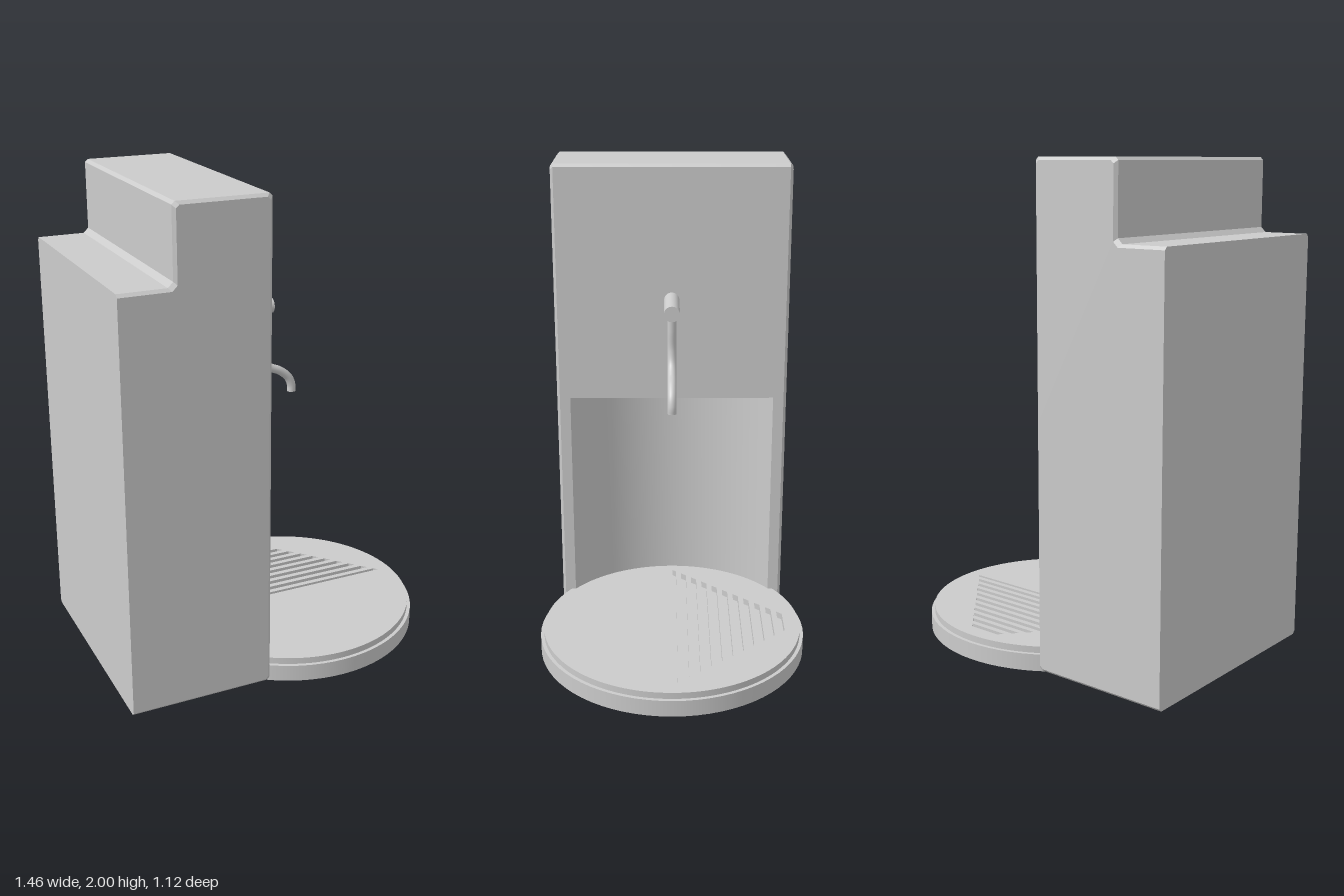
import * as THREE from 'three';
import { toCreasedNormals } from 'three/addons/utils/BufferGeometryUtils.js';

const FRONT = -0.14, BACK = -0.73, HALF = 0.49, BEVEL = 0.012;
const TRAY_X = 0.165, RECESS_R = 0.53, RECESS_TOP = 1.01;

const grey = new THREE.MeshStandardMaterial({ color: 0xcccccc });

function part(name, geometry) {
  const mesh = new THREE.Mesh(geometry, grey);
  mesh.name = name;
  return mesh;
}

// Side outline of the housing, counter-clockwise; lowerX is the front wall
// below the recess top, d insets everything but the back.
function outline(lowerX, d) {
  const f = FRONT - d, w = lowerX - d, top = 2 - d, step = -0.52 + d, ledge = 1.7 - d, c = BEVEL;
  return [
    [BACK, 0.01 + d], [w - c, 0.01 + d], [w, 0.01 + c + d],
    [w, RECESS_TOP], [f, RECESS_TOP], [f, top - c], [f - c, top],
    [step + c, top], [step, top - c], [step, ledge + 0.02], [step - 0.02, ledge], [BACK, ledge],
  ].map(([x, y]) => new THREE.Vector2(x, y));
}

// Stepped housing with a round recess, lofted across z
function housingGeometry() {
  const stations = [
    { z: -HALF, pts: outline(FRONT, BEVEL) },
    { z: -HALF + BEVEL, pts: outline(FRONT, 0) },
  ];
  const span = Math.acos((TRAY_X - FRONT) / RECESS_R), steps = 40;
  for (let i = 0; i <= steps; i++) {
    const t = span * (2 * i / steps - 1);
    const x = TRAY_X - RECESS_R * Math.cos(t);
    stations.push({ z: RECESS_R * Math.sin(t), pts: outline(Math.min(x, FRONT), 0) });
  }
  stations.push({ z: HALF - BEVEL, pts: outline(FRONT, 0) });
  stations.push({ z: HALF, pts: outline(FRONT, BEVEL) });

  const pos = [];
  const tri = (a, b, c) => {
    if (new THREE.Triangle(a, b, c).getArea() > 1e-9) pos.push(...a, ...b, ...c);
  };
  const at = (s, j) => {
    const p = s.pts[j % s.pts.length];
    return new THREE.Vector3(p.x, p.y, s.z);
  };
  for (let i = 0; i + 1 < stations.length; i++) {
    const s = stations[i], n = stations[i + 1];
    for (let j = 0; j < s.pts.length; j++) {
      tri(at(s, j), at(s, j + 1), at(n, j + 1));
      tri(at(s, j), at(n, j + 1), at(n, j));
    }
  }
  // Flat side panels
  const first = stations[0], last = stations[stations.length - 1];
  const cap = first.pts.filter((p, j) => j === 0 || p.distanceTo(first.pts[j - 1]) > 1e-6);
  for (const [a, b, c] of THREE.ShapeUtils.triangulateShape(cap, [])) {
    const v = (k, z) => new THREE.Vector3(cap[k].x, cap[k].y, z);
    tri(v(a, last.z), v(b, last.z), v(c, last.z));
    tri(v(a, first.z), v(c, first.z), v(b, first.z));
  }
  const geo = new THREE.BufferGeometry();
  geo.setAttribute('position', new THREE.Float32BufferAttribute(pos, 3));
  return toCreasedNormals(geo, 0.4);
}

// Upper tray disc with a triangular field of drain slots
function drainGeometry() {
  const shape = new THREE.Shape().absarc(0, 0, 0.545, 0, Math.PI * 2, false);
  const halfWidth = (y) => 0.49 - 0.88 * y;
  for (let i = 0; i < 11; i++) {
    const y0 = Math.max(0.005, 0.0456 * i - 0.002), y1 = 0.0456 * i + 0.021;
    const a = halfWidth(y0), b = halfWidth(y1);
    shape.holes.push(new THREE.Path([
      new THREE.Vector2(-a, y0), new THREE.Vector2(-b, y1),
      new THREE.Vector2(b, y1), new THREE.Vector2(a, y0),
    ]));
  }
  const geo = new THREE.ExtrudeGeometry(shape, { depth: 0.032, bevelEnabled: false, curveSegments: 72 });
  geo.rotateX(-Math.PI / 2);
  return toCreasedNormals(geo, 0.4);
}

export function createModel() {
  const model = new THREE.Group();
  model.name = 'drinkDispenser';

  model.add(part('housing', housingGeometry()));

  // Round drip tray
  const tray = new THREE.Group();
  tray.name = 'dripTray';
  tray.position.x = TRAY_X;
  const base = part('trayBase', new THREE.CylinderGeometry(0.56, 0.56, 0.07, 72));
  base.position.y = 0.035;
  const drain = part('drainPlate', drainGeometry());
  drain.position.y = 0.065;
  tray.add(base, drain);
  model.add(tray);

  // Tap barrel with its bent spout
  const tap = new THREE.Group();
  tap.name = 'tap';
  const barrel = part('tapBarrel', new THREE.CylinderGeometry(0.032, 0.032, 0.25, 32));
  barrel.rotation.z = Math.PI / 2;
  barrel.position.set(-0.035, 1.44, 0);
  const path = new THREE.CatmullRomCurve3([
    [0.016, 1.44], [0.016, 1.35], [0.016, 1.27], [0.036, 1.212], [0.08, 1.175],
    [0.13, 1.152], [0.17, 1.118], [0.185, 1.08], [0.185, 1.055],
  ].map(([x, y]) => new THREE.Vector3(x, y, 0)));
  const spout = part('spout', new THREE.TubeGeometry(path, 48, 0.018, 20));
  const tip = part('spoutTip', new THREE.CircleGeometry(0.018, 20));
  tip.rotation.x = Math.PI / 2;
  tip.position.set(0.185, 1.055, 0);
  tap.add(barrel, spout, tip);
  model.add(tap);

  return model;
}
